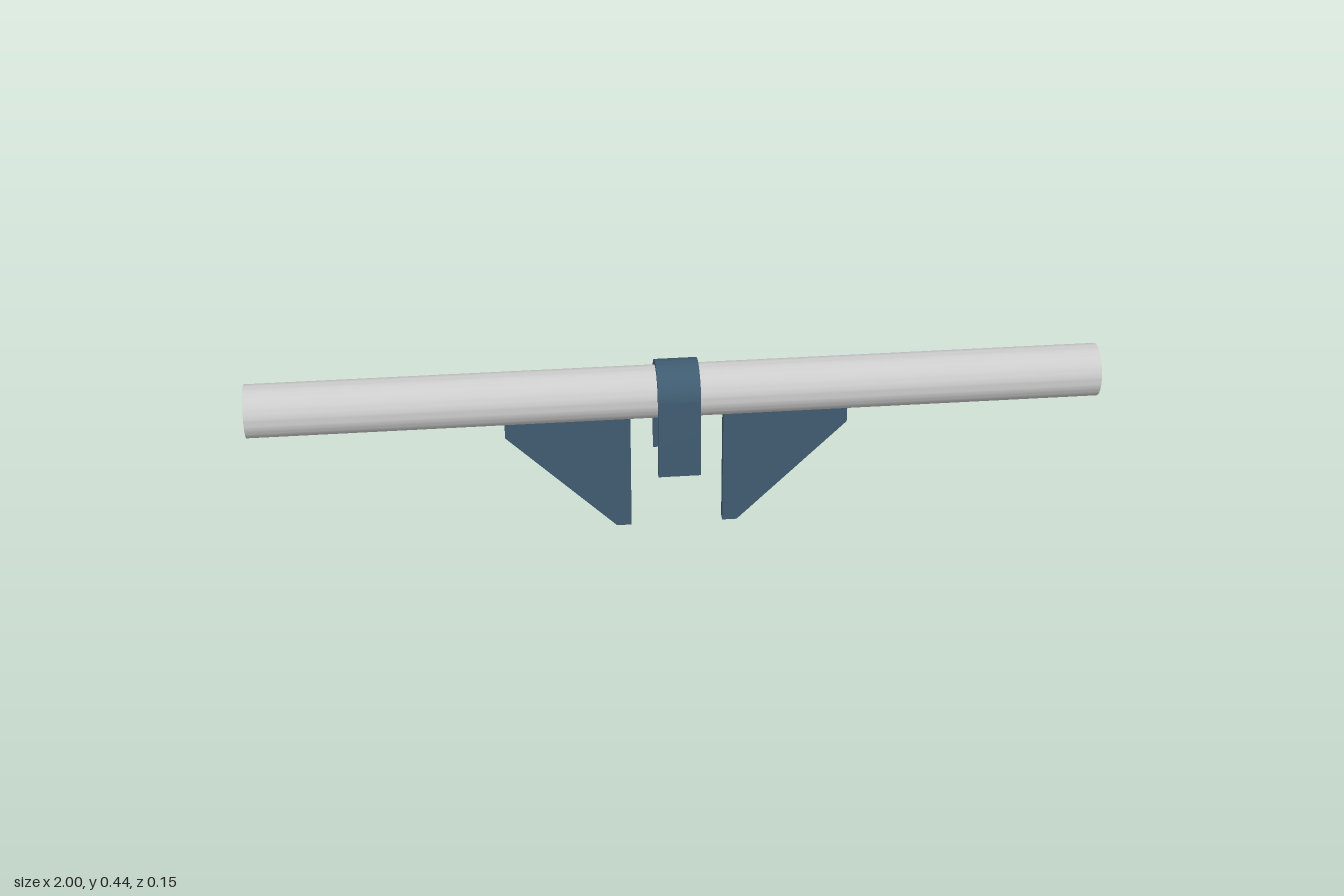
import * as THREE from 'three';
import { toCreasedNormals } from 'three/addons/utils/BufferGeometryUtils.js';

const PIPE_Y = 0.362;
const PIPE_R = 0.0625;

// Extrude a shape, centred on its depth, with smooth curves and sharp edges.
function extrude(shape, depth) {
  const geometry = new THREE.ExtrudeGeometry(shape, { depth, bevelEnabled: false, curveSegments: 32 });
  geometry.translate(0, 0, -depth / 2);
  return toCreasedNormals(geometry, Math.PI / 6);
}

export function createModel() {
  const model = new THREE.Group();
  const pipeMaterial = new THREE.MeshStandardMaterial({ color: 0xcccccc });
  const steelMaterial = new THREE.MeshStandardMaterial({ color: 0x3f5b70 });

  const add = (name, geometry, material) => {
    const mesh = new THREE.Mesh(geometry, material);
    mesh.name = name;
    model.add(mesh);
    return mesh;
  };

  // Hollow pipe running along x
  const ring = new THREE.Shape().absarc(0, 0, PIPE_R, 0, Math.PI * 2, false);
  ring.holes.push(new THREE.Path().absarc(0, 0, 0.0535, 0, Math.PI * 2, true));
  const pipe = add('pipe', extrude(ring, 2).rotateY(Math.PI / 2), pipeMaterial);
  pipe.position.y = PIPE_Y;

  // U-shaped strap over the middle of the pipe
  const outer = 0.075, inner = 0.0635, drop = -0.192;
  const band = new THREE.Shape();
  band.moveTo(-outer, drop);
  band.lineTo(-outer, 0);
  band.absarc(0, 0, outer, Math.PI, 0, true);
  band.lineTo(outer, drop);
  band.lineTo(inner, drop);
  band.lineTo(inner, 0);
  band.absarc(0, 0, inner, 0, Math.PI, false);
  band.lineTo(-inner, drop);
  const strap = add('strap', extrude(band, 0.1).rotateY(Math.PI / 2), steelMaterial);
  strap.position.y = PIPE_Y;

  // Mirrored triangular gusset plates under the pipe
  for (const [name, side] of [['leftGusset', 1], ['rightGusset', -1]]) {
    const outline = [[0.11, 0], [0.145, 0], [0.405, 0.26], [0.405, 0.3], [0.11, 0.3]];
    const plate = new THREE.Shape(outline.map(([x, y]) => new THREE.Vector2(x * side, y)));
    add(name, extrude(plate, 0.023), steelMaterial);
  }

  return model;
}
